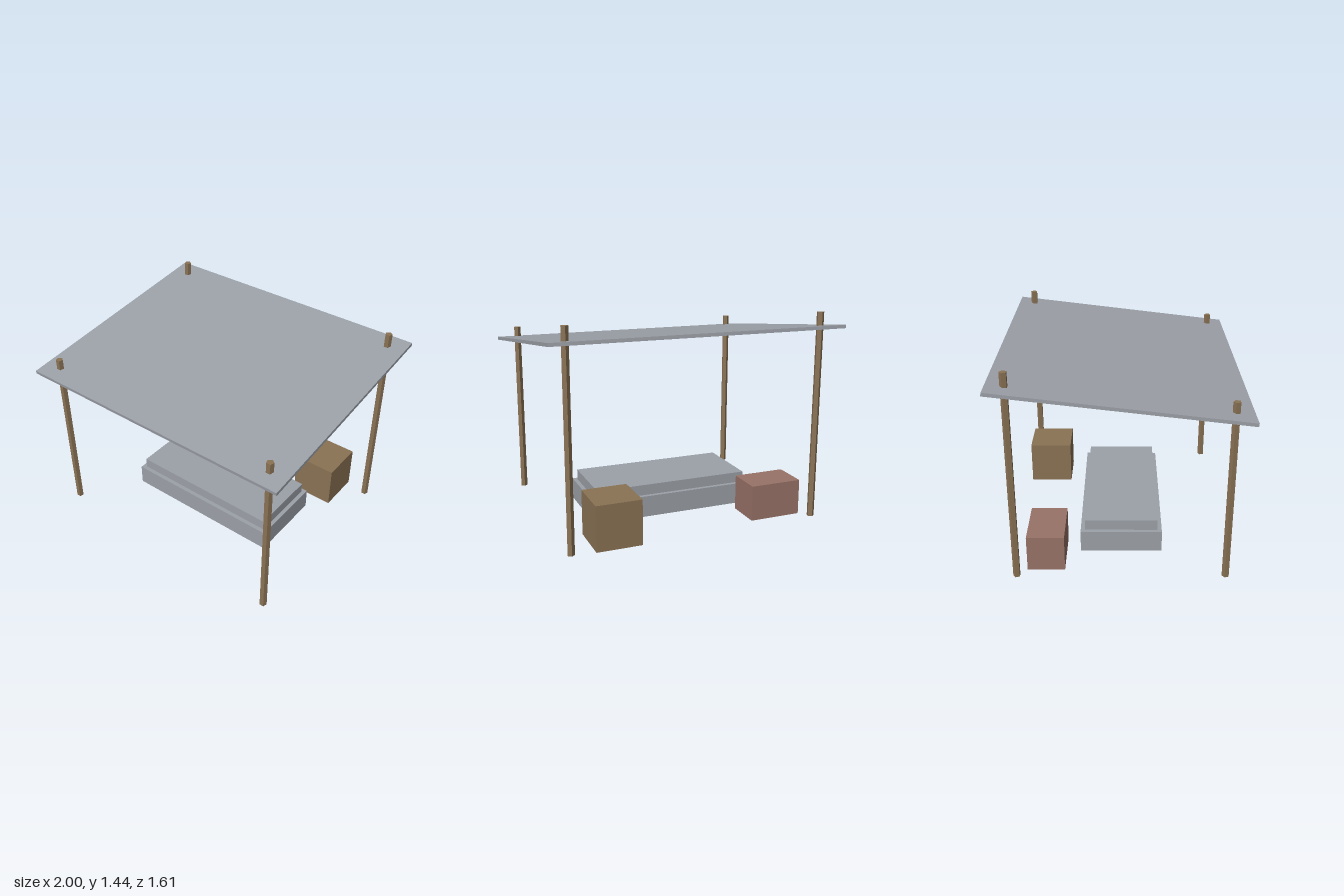
import * as THREE from 'three';

export function createModel() {
  const model = new THREE.Group();
  model.name = 'marketShelter';

  const material = (name, color) => {
    const m = new THREE.MeshStandardMaterial({ color, flatShading: true });
    m.name = name;
    return m;
  };
  const grey = material('grey', 0x9ca1a8);
  const wood = material('wood', 0x8b7355);
  const clay = material('clay', 0x997368);

  const add = (name, geometry, mat, x, y, z) => {
    const mesh = new THREE.Mesh(geometry, mat);
    mesh.name = name;
    mesh.position.set(x, y, z);
    model.add(mesh);
    return mesh;
  };
  // Box standing on height y
  const box = (name, mat, w, h, d, x, y, z) =>
    add(name, new THREE.BoxGeometry(w, h, d), mat, x, y + h / 2, z);

  // Sloping roof sheet, higher at the back
  const roof = add('roof', new THREE.BoxGeometry(2, 0.0225, 1.617), grey, 0, 1.2535, 0);
  roof.rotation.x = 0.12;

  // Five-sided posts poking through the roof, taller at the back
  for (const [end, z, h] of [['front', 0.688, 1.252], ['back', -0.688, 1.44]]) {
    for (const [side, x] of [['Left', 0.873], ['Right', -0.873]]) {
      const post = add(`${end}${side}Post`, new THREE.CylinderGeometry(0.025, 0.025, h, 5), wood, x, h / 2, z);
      post.rotation.y = Math.PI;
    }
  }

  // Stepped platform
  box('platformBase', grey, 1.18, 0.15, 0.56, 0, 0, 0);
  box('platformTop', grey, 1.12, 0.075, 0.5, 0, 0.15, 0);

  // Crates behind the platform
  box('woodCrate', wood, 0.312, 0.312, 0.312, 0.56, 0, -0.562);
  box('clayCrate', clay, 0.372, 0.25, 0.25, -0.625, 0, -0.5);

  return model;
}
